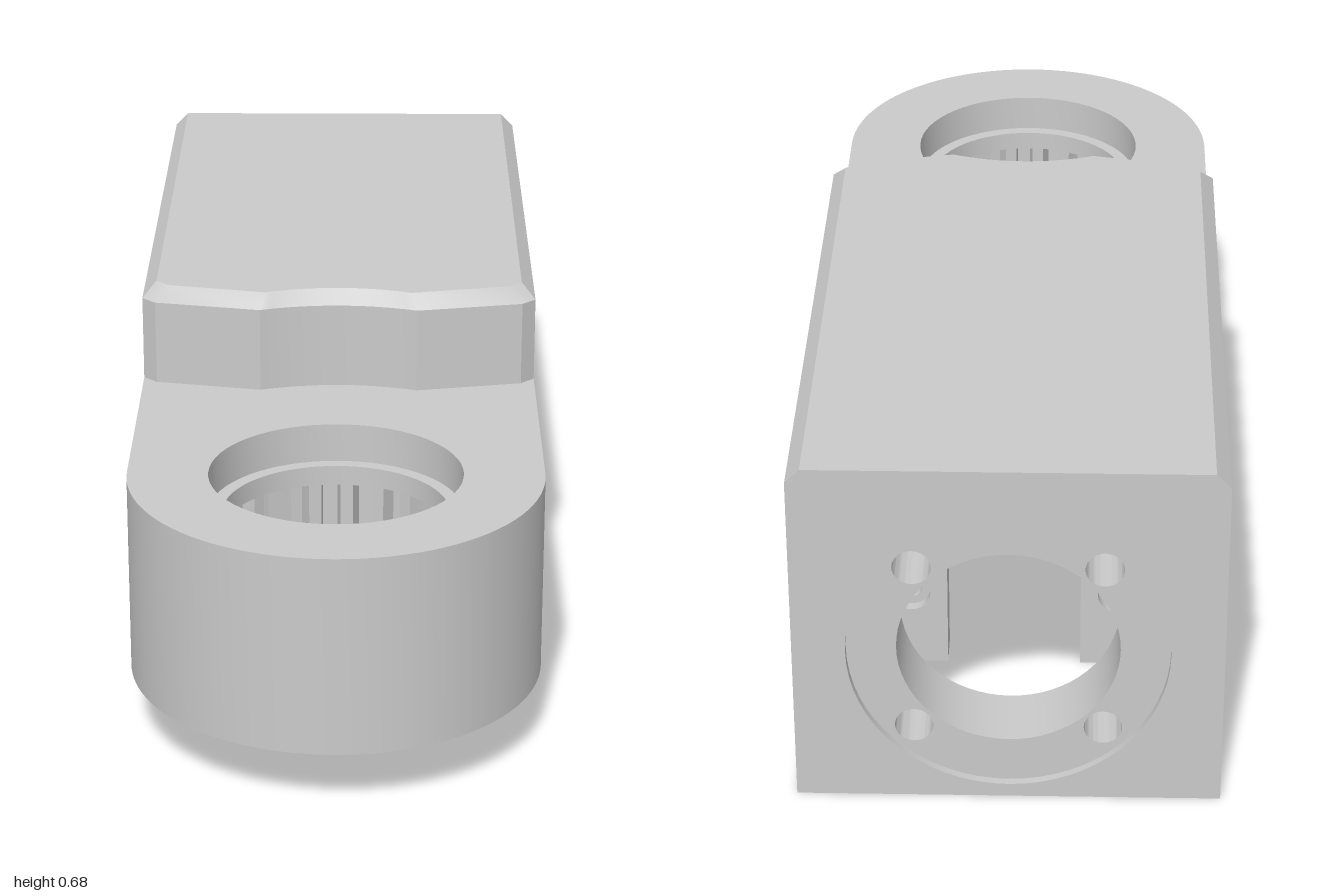
import * as THREE from 'three';
import { toCreasedNormals } from 'three/addons/utils/BufferGeometryUtils.js';

const HALF = 0.378, BACK = -1, SHOULDER = 0.15, CHAMFER_Y = 0.655, TOP = 0.682;
const CAVITY_BACK = -0.855, CAVITY_FRONT = 0.09, CAVITY_X = 0.283, CAVITY_TOP = 0.6;
const EYE_Z = 0.621, EYE_BOTTOM = 0.118, EYE_TOP = 0.492;
const FLANGE_Y = 0.31, RECESS_Z = -0.985;

export function createModel() {
  const model = new THREE.Group();
  const metal = new THREE.MeshStandardMaterial({ color: 0xcacaca, side: THREE.DoubleSide });
  metal.name = 'grey metal';

  const add = (name, geometry) => {
    const mesh = new THREE.Mesh(toCreasedNormals(geometry, 0.5), metal);
    mesh.name = name;
    model.add(mesh);
  };
  const flip = (geometry) => {
    geometry.index.array.reverse();
    return geometry;
  };
  const circle = (x, y, r) => new THREE.Shape().absarc(x, y, r, 0, Math.PI * 2, false);
  const polygon = (points) => new THREE.Shape(points.map(([x, y]) => new THREE.Vector2(x, y)));
  const rect = (x0, y0, x1, y1) => polygon([[x0, y0], [x1, y0], [x1, y1], [x0, y1]]);
  const withHoles = (shape, holes) => {
    shape.holes.push(...holes);
    return shape;
  };
  // Flat faces: horizontal from an (x, z) shape, or upright from an (x, y) shape
  const level = (shape, y, up) => {
    const g = new THREE.ShapeGeometry(shape, 32).rotateX(Math.PI / 2).translate(0, y, 0);
    return up ? flip(g) : g;
  };
  const upright = (shape, z) => new THREE.ShapeGeometry(shape, 32).translate(0, 0, z);
  // Wall along (x, z) points from y0 to y1, leaning to other points at the top if given
  const wall = (points, y0, y1, topPoints = points) => {
    const v = [];
    for (let i = 0; i + 1 < points.length; i++) {
      const [a, b, c, d] = [points[i], points[i + 1], topPoints[i + 1], topPoints[i]];
      for (const [q, y] of [[a, y0], [d, y1], [c, y1], [a, y0], [c, y1], [b, y0]]) v.push(q[0], y, q[1]);
    }
    return new THREE.BufferGeometry().setAttribute('position', new THREE.Float32BufferAttribute(v, 3));
  };
  // Inside of a round hole along y
  const tube = (r, length) => flip(new THREE.CylinderGeometry(r, r, length, 64, 1, true));
  const tubeZ = (r, x, y, z0, z1) => tube(r, z1 - z0).rotateX(Math.PI / 2).translate(x, y, (z0 + z1) / 2);

  // Housing front edge, from the left side to the right, scooped around the eye
  const frontEdge = [[HALF, SHOULDER], [0.352, 0.175], [0.15, 0.215]];
  for (let i = 1; i < 16; i++) {
    const x = 0.15 - (0.3 * i) / 16;
    frontEdge.push([x, EYE_Z - Math.sqrt(0.433 ** 2 - x * x)]);
  }
  frontEdge.push([-0.15, 0.215], [-0.352, 0.175], [-HALF, SHOULDER]);
  const plan = [[HALF, BACK], ...frontEdge, [-HALF, BACK]];
  const topPlan = plan.map(([x, z]) => [x * (0.352 / HALF), z > 0 ? z - 0.025 : z]);

  // Housing outside
  add('leftSide', wall([[HALF, BACK], [HALF, SHOULDER]], 0, CHAMFER_Y));
  add('rightSide', wall([[-HALF, SHOULDER], [-HALF, BACK]], 0, CHAMFER_Y));
  add('lowerFront', wall(frontEdge, 0, EYE_BOTTOM));
  add('upperFront', wall(frontEdge, EYE_TOP, CHAMFER_Y));
  add('topChamfer', wall(plan, CHAMFER_Y, TOP, topPlan));
  add('top', level(polygon(topPlan), TOP, true));

  // Bottom rim with four blind screw holes
  const rimHoles = [];
  for (const x of [-0.328, 0.328])
    for (const z of [-0.89, 0.055]) {
      rimHoles.push(circle(x, z, 0.019));
      add('rimScrewHole', tube(0.019, 0.1).translate(x, 0.05, z));
      add('rimScrewHoleEnd', level(circle(x, z, 0.019), 0.1, false));
    }
  const opening = rect(-CAVITY_X, CAVITY_BACK, CAVITY_X, CAVITY_FRONT);
  add('bottomRim', level(withHoles(polygon(plan), [opening, ...rimHoles]), 0, false));

  // Cavity
  add('cavityWalls', wall([[-CAVITY_X, CAVITY_BACK], [-CAVITY_X, CAVITY_FRONT],
    [CAVITY_X, CAVITY_FRONT], [CAVITY_X, CAVITY_BACK]], 0, CAVITY_TOP));
  add('cavityCeiling', level(opening, CAVITY_TOP, false));

  // Back wall with a shallow flange recess, a bore and four screw holes
  const flangeHoles = [circle(0, FLANGE_Y, 0.196)];
  add('flangeBore', tubeZ(0.196, 0, FLANGE_Y, RECESS_Z, CAVITY_BACK));
  for (const x of [-0.167, 0.167])
    for (const dy of [-0.167, 0.167]) {
      flangeHoles.push(circle(x, FLANGE_Y + dy, 0.034));
      add('flangeScrewHole', tubeZ(0.034, x, FLANGE_Y + dy, RECESS_Z, CAVITY_BACK));
    }
  const backOutline = polygon([[-HALF, 0], [HALF, 0], [HALF, CHAMFER_Y], [0.352, TOP], [-0.352, TOP], [-HALF, CHAMFER_Y]]);
  add('backFace', flip(upright(withHoles(backOutline, [circle(0, FLANGE_Y, 0.284)]), BACK)));
  add('recessEdge', tubeZ(0.284, 0, FLANGE_Y, BACK, RECESS_Z));
  add('recessFloor', flip(upright(withHoles(circle(0, FLANGE_Y, 0.284), flangeHoles), RECESS_Z)));
  add('cavityBack', upright(withHoles(rect(-CAVITY_X, 0, CAVITY_X, CAVITY_TOP), flangeHoles), CAVITY_BACK));

  // Mounting posts inside the cavity, with counterbored holes
  for (const side of [-1, 1])
    for (const [part, radius, z, depth] of [['PostFace', 0.038, -0.59, 0.02], ['Post', 0.022, -0.57, 0.05]]) {
      const post = rect(side * 0.125, 0, side * CAVITY_X, CAVITY_TOP);
      for (const y of [0.155, 0.47]) post.holes.push(circle(side * 0.195, y, radius));
      add((side > 0 ? 'left' : 'right') + part,
        new THREE.ExtrudeGeometry(post, { depth, bevelEnabled: false }).translate(0, 0, z));
    }

  // Rounded eye: outer wall and flat faces
  const arc = [];
  for (let i = 0; i <= 48; i++) {
    const a = (i / 48) * Math.PI;
    arc.push([HALF * Math.cos(a), EYE_Z + HALF * Math.sin(a)]);
  }
  const eyePlan = (bore) => withHoles(polygon([...arc, ...[...frontEdge].reverse()]), [circle(0, EYE_Z, bore)]);
  add('eyeWall', wall([[HALF, SHOULDER], ...arc, [-HALF, SHOULDER]], EYE_BOTTOM, EYE_TOP));
  add('eyeTop', level(eyePlan(0.231), EYE_TOP, true));
  add('eyeBottom', level(eyePlan(0.345), EYE_BOTTOM, false));

  // Stepped bore above and below the spline
  const bore = (profile) =>
    new THREE.LatheGeometry(profile.map(([r, y]) => new THREE.Vector2(r, y)), 64).translate(0, 0, EYE_Z);
  add('upperBore', bore([[0.231, EYE_TOP], [0.231, 0.418], [0.206, 0.418], [0.206, 0.38], [0.24, 0.38]]));
  add('lowerBore', bore([[0.24, 0.26], [0.285, 0.26], [0.285, 0.2], [0.33, 0.2], [0.33, 0.135],
    [0.345, 0.135], [0.345, EYE_BOTTOM]]));

  // Spline teeth around the bore
  const spline = [], teeth = 22;
  for (let i = 0; i < teeth; i++)
    for (const [t, r] of [[0, 0.208], [0.4, 0.208], [0.5, 0.239], [0.9, 0.239]]) {
      const a = -((i + t) / teeth) * Math.PI * 2;
      spline.push([r * Math.cos(a), EYE_Z + r * Math.sin(a)]);
    }
  add('splineTeeth', wall([...spline, spline[0]], 0.26, 0.38));
  add('splineEnd', level(withHoles(circle(0, EYE_Z, 0.241), [polygon(spline)]), 0.26, false));

  return model;
}
